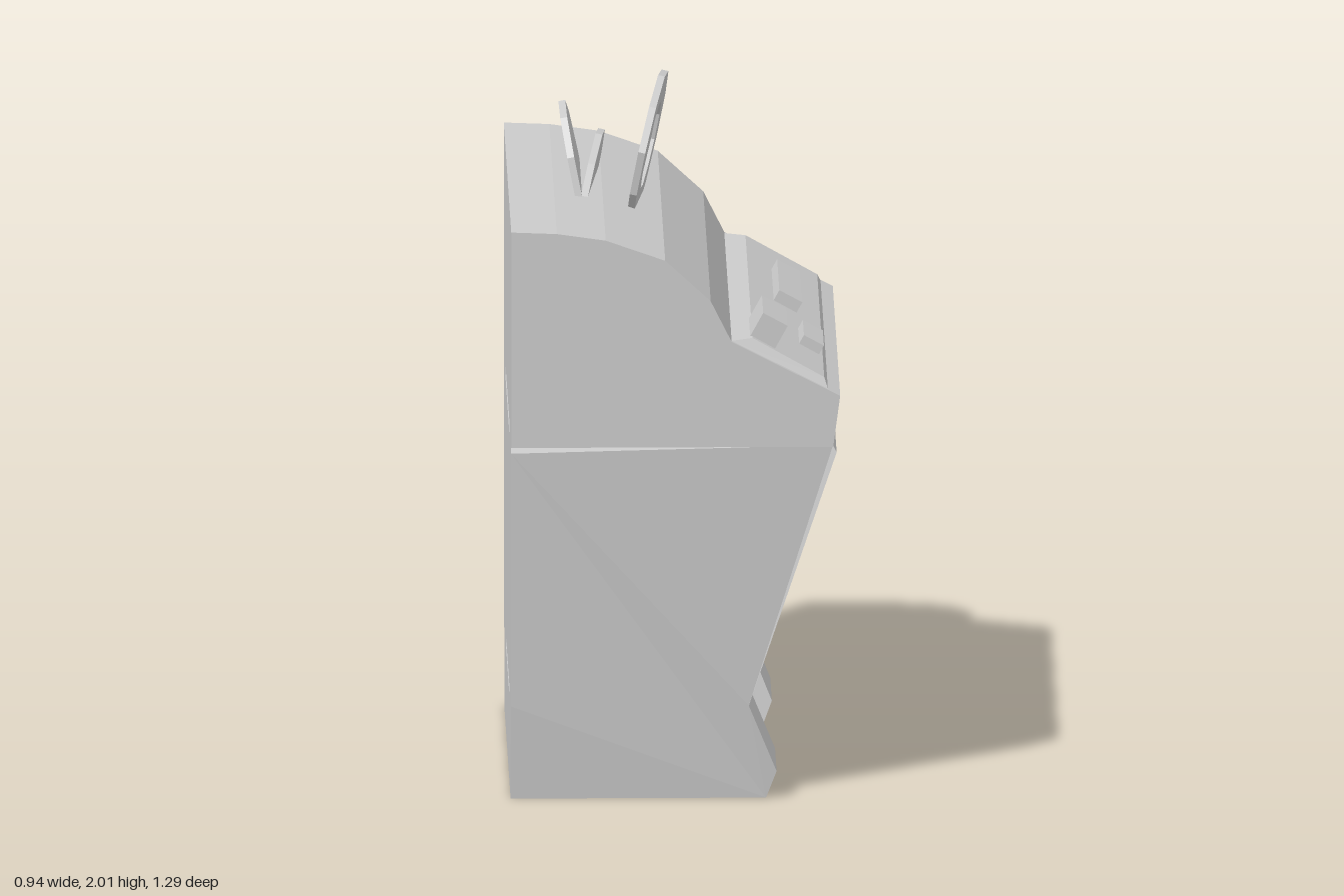
import * as THREE from 'three';

const mat = new THREE.MeshStandardMaterial({ color: 0xcccccc, flatShading: true, side: THREE.DoubleSide });
const lerp = THREE.MathUtils.lerp;

// half widths of the tapering cabinet: outer walls and knee recess
function along(points, y) {
  for (let i = 1; i < points.length; i++) {
    const [y0, v0] = points[i - 1], [y1, v1] = points[i];
    if (y <= y1) return lerp(v0, v1, (y - y0) / (y1 - y0));
  }
  return points[points.length - 1][1];
}
const outer = (x, y) => along([[0, 0.535], [0.28, 0.57], [1.04, 0.63], [1.06, 0.622]], y);
const inner = (x, y) => along([[0, 0.27], [0.28, 0.3], [1.06, 0.38]], y);
const neg = f => (x, y) => -f(x, y);

// side profile extruded across z, its two sides following lo and hi
function slab(name, profile, lo, hi, openBottom = false) {
  const shape = new THREE.Shape(profile.map(p => new THREE.Vector2(...p)));
  const geo = new THREE.ExtrudeGeometry(shape, { depth: 1, bevelEnabled: false });
  const pos = geo.attributes.position;
  const kept = [];
  for (let i = 0; i < pos.count; i += 3) {
    const tri = [];
    let top = 0;
    for (let k = i; k < i + 3; k++) {
      const x = pos.getX(k), y = pos.getY(k);
      top = Math.max(top, y);
      tri.push(x, y, lerp(lo(x, y), hi(x, y), pos.getZ(k)));
    }
    if (!openBottom || top > 0.001) kept.push(...tri);
  }
  const out = new THREE.BufferGeometry();
  out.setAttribute('position', new THREE.Float32BufferAttribute(kept, 3));
  out.computeVertexNormals();
  const mesh = new THREE.Mesh(out, mat);
  mesh.name = name;
  return mesh;
}

// pleated grille: one strip of cross-sections wrapped front, top, back and underside
function grille() {
  const pleats = 12, verts = [], index = [];
  const rows = [[-0.05, 0.28], [0.13, 1.02], [-0.47, 1.02], [-0.47, 0.28], [-0.05, 0.28]];
  rows.forEach(([x, y]) => {
    for (let i = 0; i <= pleats; i++) {
      const fold = x > -0.4 && i % 2 ? 0.06 : 0;
      verts.push(x + fold, y, inner(x, y) * (1 - 2 * i / pleats));
    }
  });
  const n = pleats + 1;
  for (let r = 0; r < rows.length - 1; r++) {
    for (let i = 0; i < pleats; i++) {
      const a = r * n + i, b = a + 1, c = a + n, d = c + 1;
      index.push(a, b, c, b, d, c);
    }
  }
  const geo = new THREE.BufferGeometry();
  geo.setAttribute('position', new THREE.Float32BufferAttribute(verts, 3));
  geo.setIndex(index);
  geo.computeVertexNormals();
  const mesh = new THREE.Mesh(geo, mat);
  mesh.name = 'grille';
  return mesh;
}

// ten-sided disc, facing along normal, optionally with a sunken centre
function disc(name, radius, center, normal, hub = 0) {
  const group = new THREE.Group();
  group.name = name;
  const ring = r => Array.from({ length: 10 }, (_, i) => {
    const a = (i + 0.5) * Math.PI / 5;
    return new THREE.Vector2(r * Math.cos(a), r * Math.sin(a));
  });
  const plate = (r, hole, depth) => {
    const shape = new THREE.Shape(ring(r));
    if (hole) shape.holes.push(new THREE.Path(ring(hole)));
    const mesh = new THREE.Mesh(new THREE.ExtrudeGeometry(shape, { depth, bevelEnabled: false }), mat);
    mesh.position.z = -0.01;
    group.add(mesh);
  };
  plate(radius, hub, 0.02);
  if (hub) plate(hub, 0, 0.01);
  group.position.set(...center);
  group.quaternion.setFromUnitVectors(new THREE.Vector3(0, 0, 1), new THREE.Vector3(...normal).normalize());
  return group;
}

export function createModel() {
  const model = new THREE.Group();
  model.name = 'consoleCabinet';

  // upper housing with rounded hood and sloping console
  const hood = [[-0.47, 1.06], [0.45, 1.06], [0.47, 1.21], [0.16, 1.37], [0.1, 1.49],
    [-0.03, 1.61], [-0.2, 1.67], [-0.34, 1.69], [-0.47, 1.695]];
  model.add(slab('upperHousing', hood, () => -0.643, () => 0.643));

  // side pedestals with kicked-out feet
  const leg = [[-0.47, 0], [0.26, 0], [0.29, 0.08], [0.21, 0.28], [0.46, 1.04], [0.45, 1.06],
    [-0.47, 1.06], [-0.47, 1.04], [-0.47, 0.28]];
  model.add(slab('leftPedestal', leg, inner, outer, true));
  model.add(slab('rightPedestal', leg, neg(outer), neg(inner), true));

  // recessed plinth and pleated grille, leaving a vent slot above and below the grille
  const plinth = [[-0.47, 0], [0.01, 0], [0.04, 0.08], [-0.02, 0.235], [-0.04, 0.25], [-0.47, 0.25]];
  model.add(slab('plinth', plinth, neg(inner), inner));
  model.add(grille());

  // raised control panel with bevelled edges
  const panelHalf = (x, y) => (y - (1.37 - 0.516 * (x - 0.16)) > 0.01 ? 0.6 : 0.63);
  const panel = [[0.16, 1.37], [0.435, 1.228], [0.425, 1.255], [0.22, 1.371]];
  model.add(slab('controlPanel', panel, neg(panelHalf), panelHalf));

  // keys lying on the sloping panel: centre, then length, height, width
  const keys = [
    ['largeKey', [0.267, 1.385, 0.475], [0.08, 0.08, 0.21]],
    ['longKey', [0.33, 1.325, -0.18], [0.075, 0.04, 0.365]],
    ['smallKey', [0.39, 1.285, 0.27], [0.065, 0.04, 0.18]],
  ];
  for (const [name, at, size] of keys) {
    const key = new THREE.Mesh(new THREE.BoxGeometry(...size), mat);
    key.name = name;
    key.position.set(...at);
    key.rotation.z = -0.5;
    model.add(key);
  }

  // discs standing in the hood
  model.add(disc('frontDisc', 0.22, [-0.07, 1.795, 0.01], [1, -0.21, 0.12], 0.13));
  model.add(disc('middleDisc', 0.21, [-0.245, 1.62, -0.04], [1, -0.2, 0.1]));
  model.add(disc('rearDisc', 0.225, [-0.27, 1.68, -0.055], [1, 0.2, 0]));
  return model;
}
